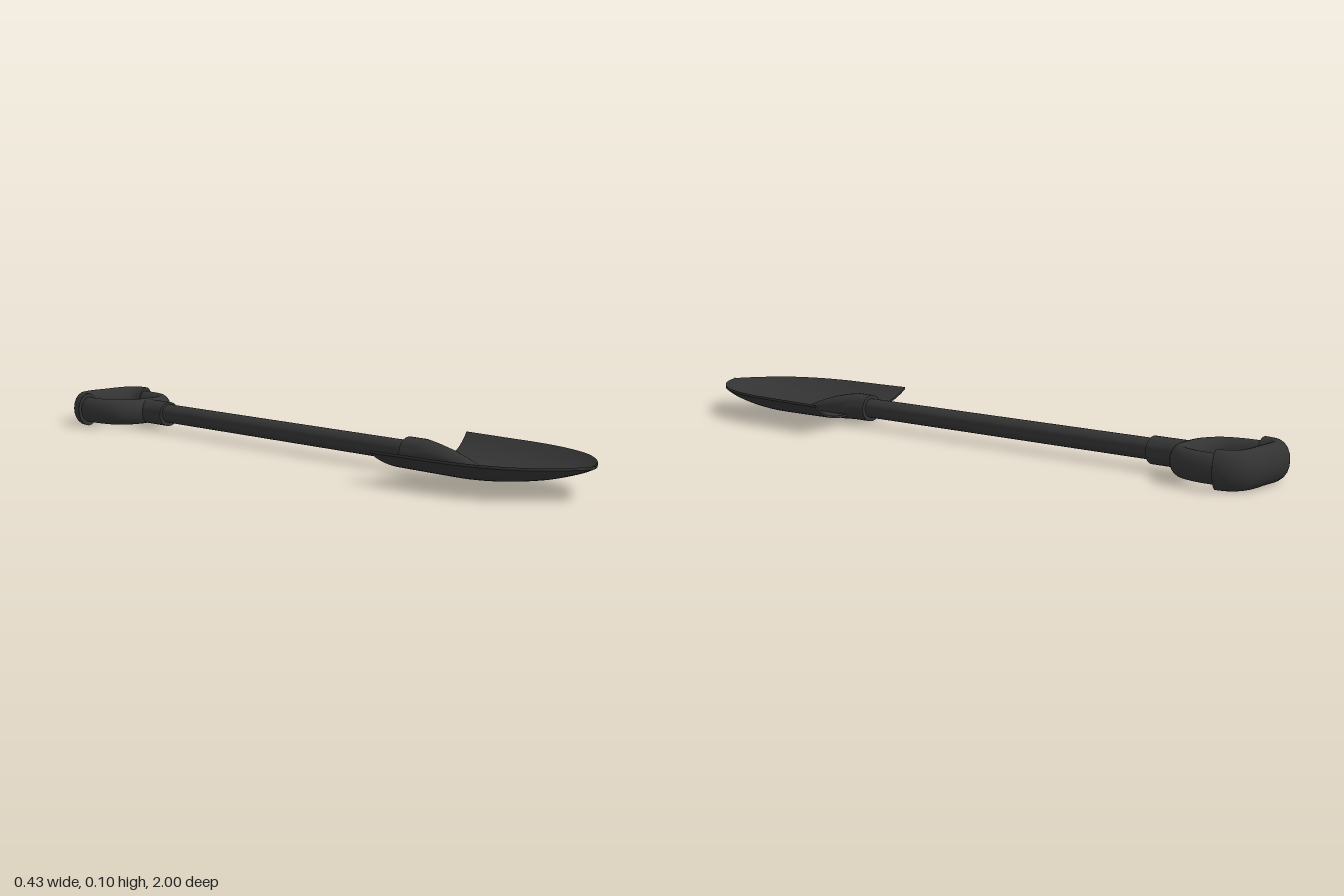
import * as THREE from 'three';
import { toCreasedNormals } from 'three/addons/utils/BufferGeometryUtils.js';

const AXIS_Y = 0.055;
const material = new THREE.MeshStandardMaterial({ color: 0x333333, side: THREE.DoubleSide });

function part(name, geometry) {
  const mesh = new THREE.Mesh(geometry, material);
  mesh.name = name;
  return mesh;
}

// Turned part along z from [radius, z] pairs
function turned(profile, segments = 24) {
  const points = profile.map(([r, z]) => new THREE.Vector2(r, z));
  const geometry = new THREE.LatheGeometry(points, segments);
  geometry.rotateX(Math.PI / 2);
  return toCreasedNormals(geometry, 0.6);
}

// Mirrored flat path from [x, z] pairs running from the middle to the +x end
function mirroredPath(half) {
  const right = half.map(([x, z]) => new THREE.Vector3(x, 0, z));
  const left = half.slice(1).reverse().map(([x, z]) => new THREE.Vector3(-x, 0, z));
  return new THREE.CatmullRomCurve3([...left, ...right]);
}

// Tube with an upright oval section
function ovalTube(path, radius, height) {
  const geometry = new THREE.TubeGeometry(path, 48, radius, 20, false);
  geometry.scale(1, height / radius, 1);
  return geometry;
}

// Dished blade: a thin slab bent over stations of half width, spine height and z
function bladeGeometry() {
  const stations = [
    [0.215, 0.028, 0.46], [0.209, 0.026, 0.58], [0.203, 0.026, 0.70], [0.185, 0.034, 0.79],
    [0.145, 0.048, 0.88], [0.085, 0.066, 0.945], [0.04, 0.078, 0.976], [0.0005, 0.087, 0.997],
  ].map((s) => new THREE.Vector3(...s));
  const spine = new THREE.CatmullRomCurve3(stations);
  const geometry = new THREE.BoxGeometry(2, 1, 1, 28, 1, 36);
  const pos = geometry.attributes.position;
  for (let i = 0; i < pos.count; i++) {
    const u = pos.getX(i);
    const t = pos.getZ(i) + 0.5;
    const s = spine.getPoint(t);
    const bend = Math.pow(Math.abs(u), 3);
    const y = s.y + (0.085 - s.y) * bend + pos.getY(i) * 0.007;
    // Back edge sweeps up to the corners, further on the +x side
    const sweep = (u > 0 ? 0.058 : 0.02) * Math.pow(Math.abs(u), 1.5) * Math.pow(1 - t, 2);
    pos.setXYZ(i, u * s.x, y, s.z - sweep);
  }
  return toCreasedNormals(geometry, 0.7);
}

export function createModel() {
  const group = new THREE.Group();
  group.name = 'shovel';

  group.add(part('blade', bladeGeometry()));

  // Socket, tapering and sinking into the blade
  const socket = turned([
    [0, 0.38], [0.04, 0.38], [0.04, 0.44], [0.038, 0.48], [0.033, 0.53],
    [0.024, 0.58], [0.012, 0.63], [0, 0.66],
  ]);
  const pos = socket.attributes.position;
  for (let i = 0; i < pos.count; i++) {
    const t = Math.max(0, (pos.getZ(i) - 0.44) / 0.22);
    pos.setY(i, pos.getY(i) + AXIS_Y - 0.026 * t);
  }
  group.add(part('bladeSocket', socket));

  const shaft = part('shaft', turned([[0, -0.7], [0.029, -0.7], [0.029, 0.42], [0, 0.42]]));
  shaft.position.y = AXIS_Y;
  group.add(shaft);

  // D-shaped handle
  const handle = new THREE.Group();
  handle.name = 'handle';
  handle.position.y = AXIS_Y - 0.002;
  handle.add(part('handleCollar', turned([[0, -0.755], [0.038, -0.755], [0.038, -0.642], [0, -0.642]])));

  const yoke = mirroredPath([[0, -0.757], [0.05, -0.762], [0.09, -0.79], [0.11, -0.84], [0.114, -0.89], [0.112, -0.925]]);
  handle.add(part('handleYoke', ovalTube(yoke, 0.029, 0.04)));

  const grip = mirroredPath([[0, -0.966], [0.06, -0.966], [0.092, -0.957], [0.111, -0.935], [0.117, -0.907]]);
  handle.add(part('grip', ovalTube(grip, 0.034, 0.052)));

  // Closed ends of the grip
  for (const side of [-1, 1]) {
    const cap = new THREE.CircleGeometry(0.034, 20);
    cap.scale(1, 0.052 / 0.034, 1);
    cap.rotateY(side * 0.2);
    const mesh = part('gripEnd', cap);
    mesh.position.set(side * 0.117, 0, -0.907);
    handle.add(mesh);
  }
  group.add(handle);

  return group;
}
